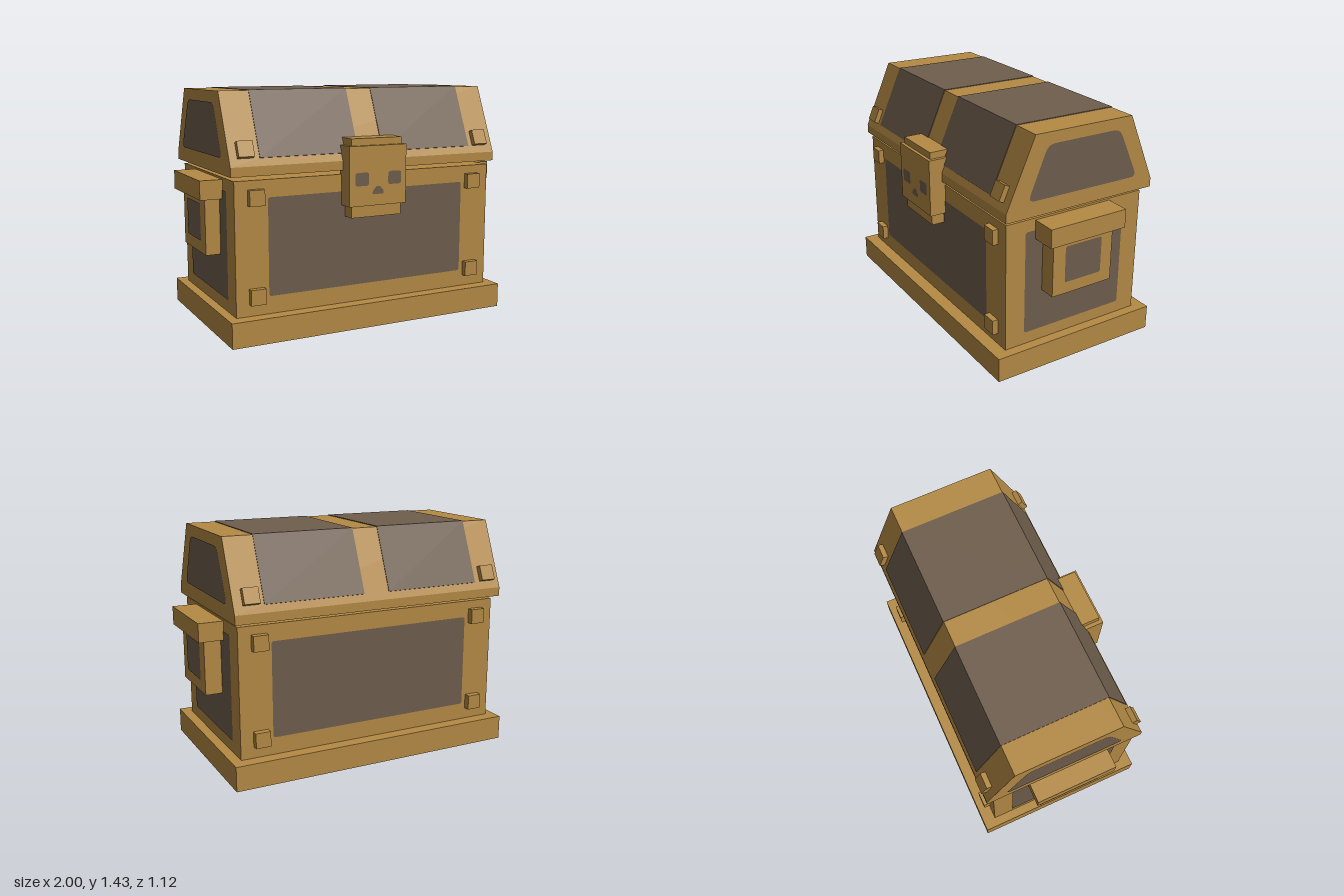
import * as THREE from 'three';

export function createModel() {
  const model = new THREE.Group();
  model.name = 'treasureChest';
  const gold = new THREE.MeshStandardMaterial({ color: 0xb58b45 });
  gold.name = 'gold';
  const dark = new THREE.MeshStandardMaterial({ color: 0x6f5e4d });
  dark.name = 'darkWood';

  const add = (name, geometry, material) => {
    const mesh = new THREE.Mesh(geometry, material);
    mesh.name = name;
    model.add(mesh);
    return mesh;
  };
  // Box given by its limits on each axis
  const block = (name, x0, x1, y0, y1, z0, z1) =>
    add(name, new THREE.BoxGeometry(x1 - x0, y1 - y0, z1 - z0), gold)
      .position.set((x0 + x1) / 2, (y0 + y1) / 2, (z0 + z1) / 2);

  // Polygon with softened corners
  const rounded = (pts, r) => {
    const v = pts.map(p => new THREE.Vector2(...p));
    const shape = new THREE.Shape();
    v.forEach((p, i) => {
      const prev = v[(i + v.length - 1) % v.length], next = v[(i + 1) % v.length];
      const a = p.clone().add(prev.clone().sub(p).setLength(r));
      const b = p.clone().add(next.clone().sub(p).setLength(r));
      if (i) shape.lineTo(a.x, a.y); else shape.moveTo(a.x, a.y);
      shape.quadraticCurveTo(p.x, p.y, b.x, b.y);
    });
    shape.closePath();
    return shape;
  };
  const rect = (x0, x1, y0, y1) => [[x0, y0], [x1, y0], [x1, y1], [x0, y1]];
  // Inlay facing +z, turned about y and pushed out by dist
  const inlay = (name, pts, turn, dist, r = 0.015) =>
    add(name, new THREE.ShapeGeometry(rounded(pts, r), 4).translate(0, 0, dist + 0.003).rotateY(turn), dark);
  // Profile of [z, y] points swept along x
  const sweep = (name, pts, x0, x1, material) => {
    const shape = new THREE.Shape(pts.map(([z, y]) => new THREE.Vector2(-z, y)));
    const geo = new THREE.ExtrudeGeometry(shape, { depth: x1 - x0, bevelEnabled: false });
    return add(name, geo.rotateY(Math.PI / 2).translate(x0, 0, 0), material);
  };
  const Q = Math.PI / 2;

  // Base and body
  block('base', -0.92, 0.91, 0, 0.15, -0.555, 0.535);
  block('body', -0.865, 0.85, 0.15, 0.932, -0.475, 0.455);
  inlay('frontPanel', rect(-0.665, 0.65, 0.255, 0.83), 0, 0.455);
  inlay('backPanel', rect(-0.65, 0.665, 0.255, 0.83), Math.PI, 0.475);
  inlay('leftPanel', rect(-0.33, 0.35, 0.225, 0.86), Q, 0.85);
  inlay('rightPanel', rect(-0.35, 0.33, 0.225, 0.86), -Q, 0.865);

  // Lid with wooden bands wrapped over slopes and top
  sweep('lid', [[0.475, 0.957], [0.475, 1.012], [0.295, 1.423], [-0.352, 1.418], [-0.525, 1.01], [-0.525, 0.955]],
    -0.89, 0.88, gold);
  const band = [
    [0.456, 1.055], [0.295, 1.423], [-0.352, 1.418], [-0.507, 1.052],
    [-0.511, 1.054], [-0.354, 1.422], [0.297, 1.427], [0.460, 1.057],
  ];
  sweep('lidPanelRight', band, -0.71, -0.09, dark);
  sweep('lidPanelLeft', band, 0.075, 0.7, dark);
  const lidEnd = [[-0.34, 1.05], [0.41, 1.045], [0.27, 1.353], [-0.215, 1.355]];
  inlay('lidEndLeft', lidEnd, Q, 0.88, 0.045);
  inlay('lidEndRight', lidEnd.map(([x, y]) => [-x, y]).reverse(), -Q, 0.89, 0.045);

  // Square studs on body and lid
  for (const x of [-0.74, 0.725]) {
    for (const y of [0.265, 0.835]) {
      block('frontStud', x - 0.046, x + 0.046, y - 0.046, y + 0.046, 0.44, 0.49);
      block('backStud', x - 0.046, x + 0.046, y - 0.046, y + 0.046, -0.515, -0.46);
    }
    const lx = x < 0 ? -0.795 : 0.778;
    for (const [z, tilt] of [[0.437, -0.41], [-0.489, 0.4]]) {
      const stud = add('lidStud', new THREE.BoxGeometry(0.094, 0.094, 0.062), gold);
      stud.position.set(lx, 1.1, z);
      stud.rotation.x = tilt;
    }
  }

  // Side handles
  block('leftHandleBar', 0.84, 1, 0.807, 0.92, -0.247, 0.264);
  block('rightHandleBar', -1, -0.85, 0.807, 0.92, -0.247, 0.264);
  block('leftHandle', 0.84, 0.955, 0.473, 0.807, -0.196, 0.214);
  block('rightHandle', -0.957, -0.85, 0.473, 0.807, -0.196, 0.214);
  inlay('leftHandleInlay', rect(-0.133, 0.117, 0.545, 0.768), Q, 0.955);
  inlay('rightHandleInlay', rect(-0.117, 0.133, 0.545, 0.768), -Q, 0.957);

  // Skull lock
  block('lockCore', -0.177, 0.158, 0.68, 1.145, 0.41, 0.538);
  block('lockFace', -0.2, 0.18, 0.75, 1.103, 0.435, 0.558);
  inlay('lockRightEye', rect(-0.163, -0.073, 0.87, 0.948), 0, 0.558);
  inlay('lockLeftEye', rect(0.056, 0.144, 0.87, 0.948), 0, 0.558);
  inlay('lockNose', [[-0.048, 0.817], [0.026, 0.817], [0.026, 0.836], [0, 0.864], [-0.022, 0.864], [-0.048, 0.836]],
    0, 0.558, 0.006);

  // Treasure peeking through the gap under the lid
  for (const [x, z] of [[-0.58, 0.2], [-0.5, -0.27], [-0.36, 0.1], [0.36, 0.22], [0.48, -0.28], [0.58, 0.14]]) {
    const coin = add('coin', new THREE.CylinderGeometry(0.07, 0.07, 0.02, 8), gold);
    coin.position.set(x, 0.942, z);
    coin.rotation.z = x * 0.2;
  }
  return model;
}
